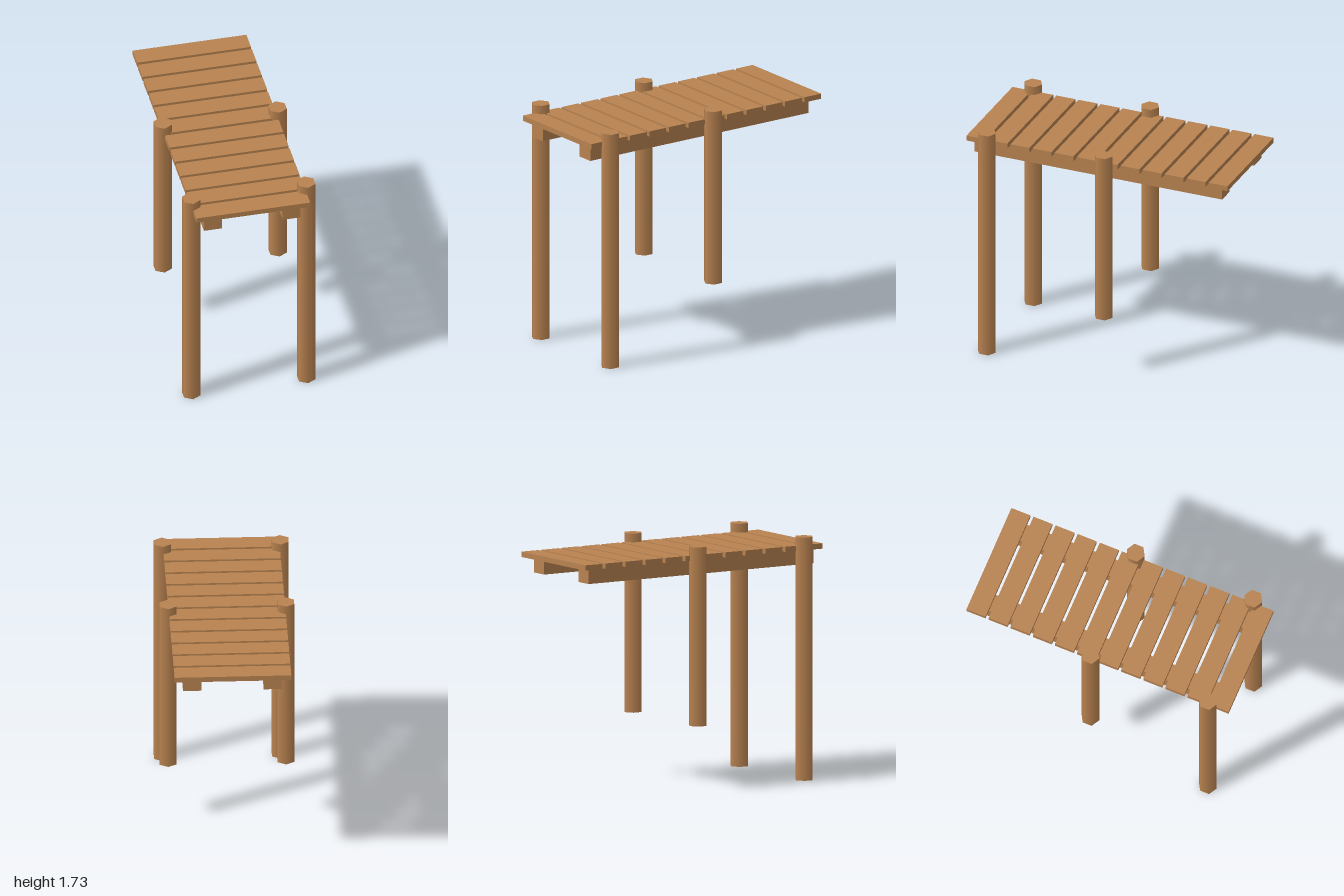
import * as THREE from 'three';

export function createModel() {
  const model = new THREE.Group();
  model.name = 'woodenPier';
  const wood = new THREE.MeshStandardMaterial({ color: 0xb88250, side: THREE.DoubleSide });
  wood.name = 'brown wood';

  const add = (name, geometry, x, y, z, parent = model) => {
    const mesh = new THREE.Mesh(geometry, wood);
    mesh.name = name;
    mesh.position.set(x, y, z);
    parent.add(mesh);
    return mesh;
  };

  // Deck planks, evenly spaced from front to back
  const count = 12, depth = 0.145, deckBottom = 1.63, deckTop = 1.668;
  const pitch = (2 - depth) / (count - 1);
  const plank = new THREE.BoxGeometry(0.822, deckTop - deckBottom, depth);
  for (let i = 0; i < count; i++) {
    add('plank', plank, -0.004, (deckTop + deckBottom) / 2, -1 + depth / 2 + i * pitch);
  }

  // Two long beams beneath the planks
  const beam = new THREE.BoxGeometry(0.13, deckBottom - 1.522, 1.898);
  for (const x of [-0.288, 0.281]) add('beam', beam, x, (deckBottom + 1.522) / 2, 0.016);

  // Six-sided posts, capped on top and hollow at the foot
  const top = 1.73, radius = 0.068;
  const cap = new THREE.CircleGeometry(radius, 6, Math.PI / 2).rotateX(-Math.PI / 2);
  for (const [z, bottom] of [[0.842, 0], [-0.054, 0.456]]) {
    const shaft = new THREE.CylinderGeometry(radius, radius, top - bottom, 6, 1, true);
    for (const x of [-0.417, 0.414]) {
      const post = new THREE.Group();
      post.name = z > 0 ? 'frontPost' : 'middlePost';
      post.position.set(x, 0, z);
      add('postShaft', shaft, 0, (top + bottom) / 2, 0, post);
      add('postCap', cap, 0, top, 0, post);
      model.add(post);
    }
  }
  return model;
}
